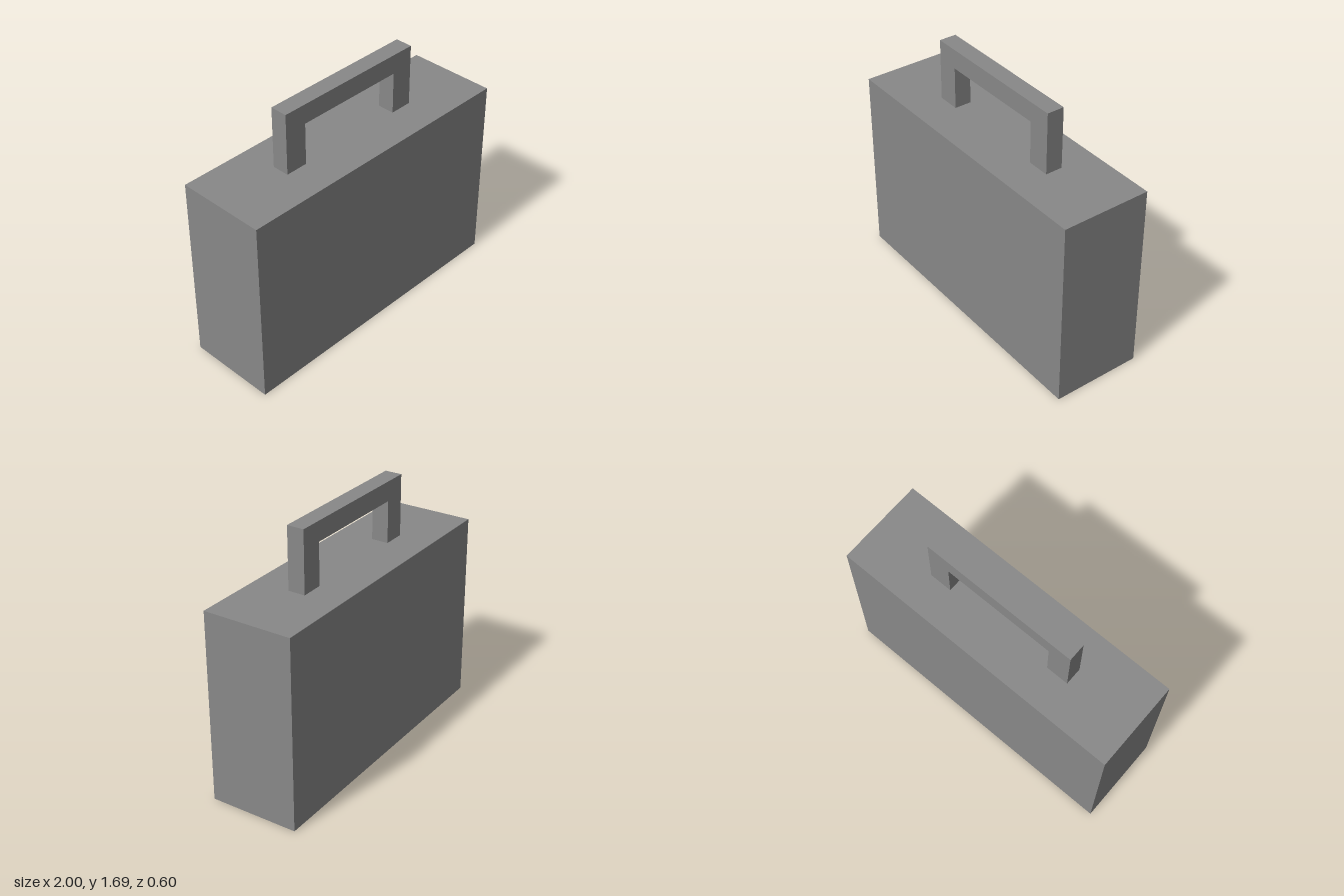
import * as THREE from 'three';

export function createModel() {
  const group = new THREE.Group();
  const material = new THREE.MeshStandardMaterial({ color: 0x888888, flatShading: true });
  const add = (name, geometry) => {
    const mesh = new THREE.Mesh(geometry, material);
    mesh.name = name;
    group.add(mesh);
    return mesh;
  };

  // Case body
  const bodyHeight = 1.275;
  add('caseBody', new THREE.BoxGeometry(2, bodyHeight, 0.596)).position.y = bodyHeight / 2;

  // Carrying handle: a square arch standing on the top of the case
  const outer = 0.527, inner = 0.376, top = 1.686, underside = 1.556;
  const arch = new THREE.Shape([
    [-outer, bodyHeight], [-inner, bodyHeight], [-inner, underside], [inner, underside],
    [inner, bodyHeight], [outer, bodyHeight], [outer, top], [-outer, top],
  ].map(([x, y]) => new THREE.Vector2(x, y)));
  const handle = add('handle', new THREE.ExtrudeGeometry(arch, { depth: 0.114, bevelEnabled: false }));
  handle.position.z = -0.061;

  return group;
}
